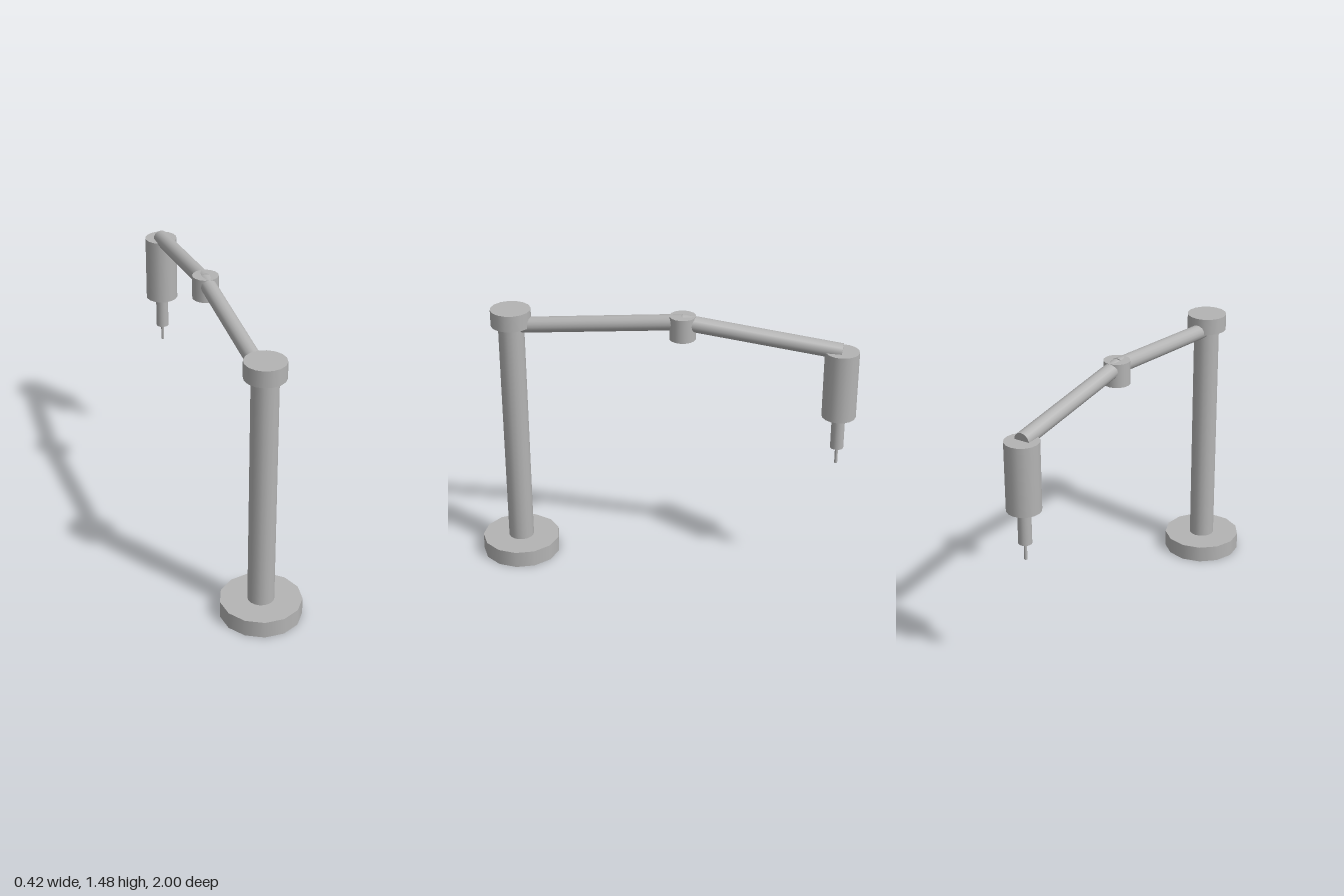
import * as THREE from 'three';

export function createModel() {
  const model = new THREE.Group();
  const metal = new THREE.MeshStandardMaterial({ color: 0xb4b4b4 });
  metal.name = 'grey metal';

  const add = (name, geometry) => {
    const mesh = new THREE.Mesh(geometry, metal);
    mesh.name = name;
    model.add(mesh);
    return mesh;
  };

  // Upright cylinder between two heights at depth z
  const post = (name, radius, bottom, top, z, sides = 16) => {
    const mesh = add(name, new THREE.CylinderGeometry(radius, radius, top - bottom, sides));
    mesh.position.set(0, (bottom + top) / 2, z);
    return mesh;
  };

  // Slanted cylinder between two points in the x = 0 plane
  const arm = (name, radius, y0, z0, y1, z1) => {
    const from = new THREE.Vector3(0, y0, z0);
    const to = new THREE.Vector3(0, y1, z1);
    const mesh = add(name, new THREE.CylinderGeometry(radius, radius, from.distanceTo(to), 16));
    mesh.position.copy(from).add(to).multiplyScalar(0.5);
    mesh.quaternion.setFromUnitVectors(new THREE.Vector3(0, 1, 0), to.sub(from).normalize());
  };

  const columnZ = 0.795, elbowZ = -0.105, headZ = -0.912;

  // Stand
  post('base', 0.21, 0, 0.09, columnZ, 13).rotation.y = Math.PI;
  post('column', 0.068, 0.09, 1.35, columnZ);
  post('columnCap', 0.105, 1.35, 1.437, columnZ);

  // Jointed arm
  arm('innerArm', 0.041, 1.347, columnZ, 1.44, elbowZ);
  post('elbowJoint', 0.068, 1.35, 1.474, elbowZ);
  arm('outerArm', 0.041, 1.44, elbowZ, 1.35, headZ);

  // Tool head
  post('toolHead', 0.087, 0.992, 1.35, headZ);
  post('spindle', 0.034, 0.812, 0.992, headZ);
  post('toolBit', 0.008, 0.722, 0.812, headZ);

  return model;
}
